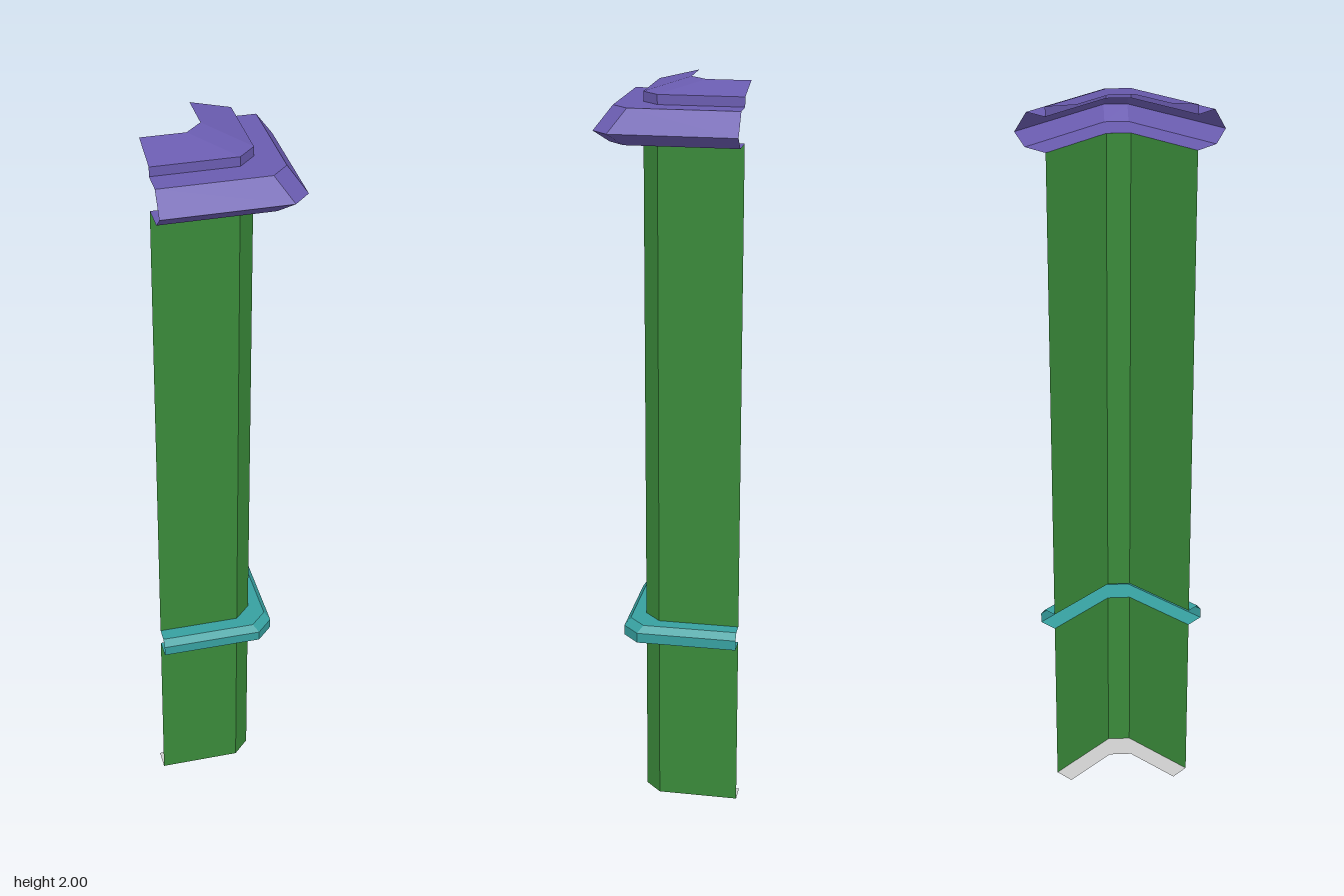
import * as THREE from 'three';

const END = -0.186;    // where both wings stop
const CHAMFER = 0.044; // cut across the outer corner

// L-shaped plan line lying a distance d out from the centre lines
const planLine = (d) => [[END, d], [d - CHAMFER, d], [d, d - CHAMFER], [d, END]];

// Sweeps an open profile of [distance, height] points (top to bottom) round the corner
function sweep(name, profile, color) {
  const rings = profile.map(([d, y]) => planLine(d).map(([x, z]) => [x, y, z]));
  const positions = [];
  for (let i = 0; i < rings.length - 1; i++) {
    for (let j = 0; j < 3; j++) {
      const a = rings[i][j], b = rings[i + 1][j];
      const c = rings[i + 1][j + 1], d = rings[i][j + 1];
      positions.push(...a, ...b, ...c, ...a, ...c, ...d);
    }
  }
  const geometry = new THREE.BufferGeometry();
  geometry.setAttribute('position', new THREE.Float32BufferAttribute(positions, 3));
  geometry.computeVertexNormals();
  const material = new THREE.MeshStandardMaterial({ color, flatShading: true, side: THREE.DoubleSide });
  const mesh = new THREE.Mesh(geometry, material);
  mesh.name = name;
  return mesh;
}

export function createModel() {
  const group = new THREE.Group();
  group.name = 'cornerColumn';
  const wall = 0.078;
  const green = 0x3a8a3a, purple = 0x6a5cb0, teal = 0x37a0a0;

  // Stepped cornice with a sloping top sheet
  group.add(sweep('cornice', [
    [-0.027, 2], [wall, 1.975], [wall, 1.95], [0.142, 1.95],
    [0.185, 1.892], [0.15, 1.86], [wall, 1.86],
  ], purple));

  // Wall panels above and below the band
  group.add(sweep('upperWall', [[wall, 1.86], [wall, 0.538]], green));
  group.add(sweep('lowerWall', [[wall, 0.492], [wall, 0]], green));

  // Projecting band, open towards the inside
  group.add(sweep('band', [
    [wall, 0.538], [0.115, 0.538], [0.13, 0.52], [0.13, 0.492], [wall, 0.492],
  ], teal));

  // Narrow strip under the foot of the wall
  group.add(sweep('baseStrip', [[wall, 0], [0.023, 0]], 0xcccccc));

  return group;
}
